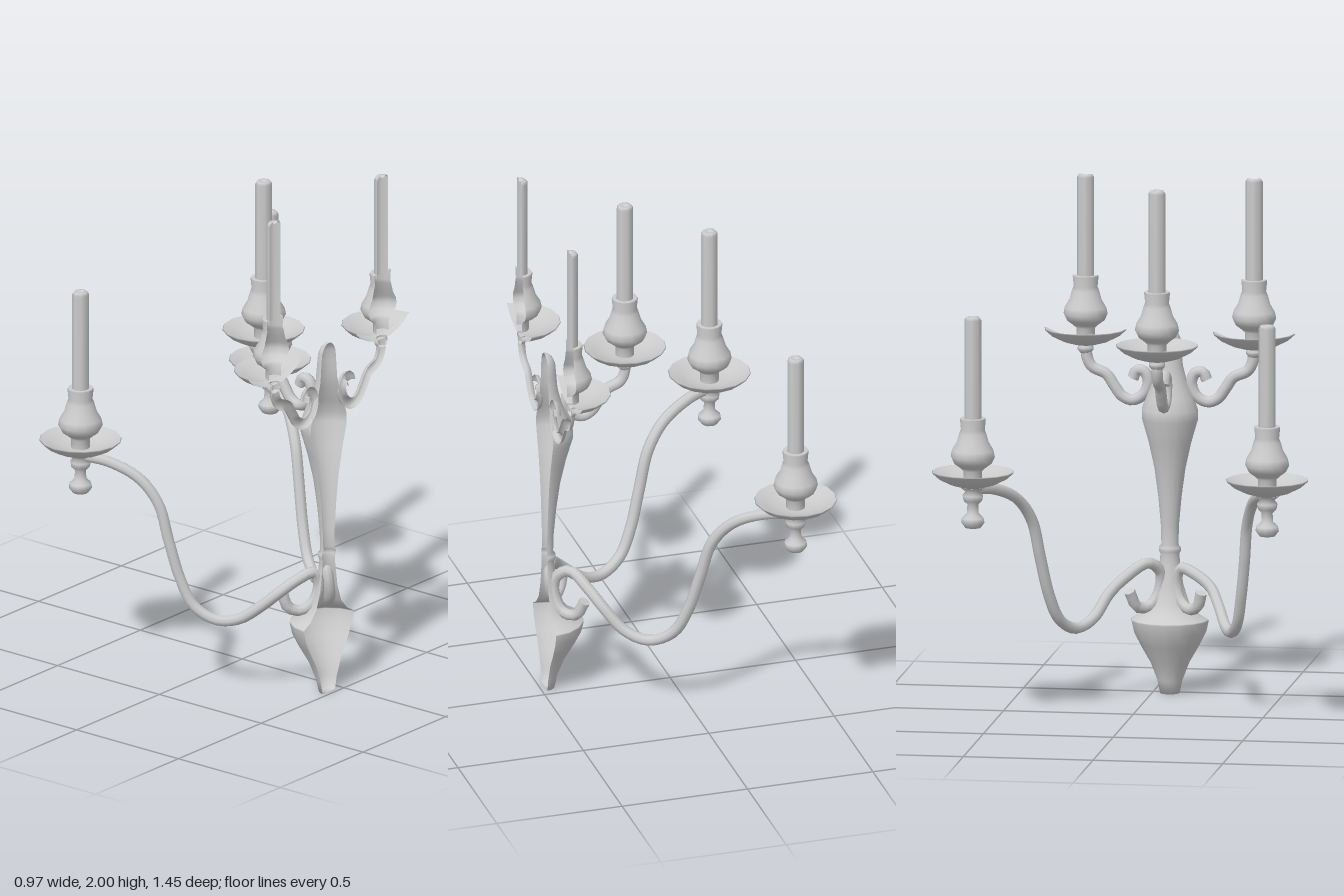
import * as THREE from 'three';

const metal = new THREE.MeshStandardMaterial({ color: 0xcccccc, side: THREE.DoubleSide });
const WALL = 0.48; // wall plane, also the axis of the back plate
const AXIS_Z = 0.067;

function part(name, geometry) {
  const mesh = new THREE.Mesh(geometry, metal);
  mesh.name = name;
  return mesh;
}

// Turned part; half keeps only the side that stands out from the wall (-x)
function turned(name, profile, sides, half = false) {
  const pts = profile.map(([r, y]) => new THREE.Vector2(r, y));
  const geo = half
    ? new THREE.LatheGeometry(pts, sides / 2, Math.PI, Math.PI)
    : new THREE.LatheGeometry(pts, sides);
  return part(name, geo);
}

// Cut a geometry at the wall: flatten what lies behind, then drop the flat faces
function cutAtWall(geo) {
  const p = geo.attributes.position;
  for (let i = 0; i < p.count; i++) p.setX(i, Math.min(p.getX(i), WALL));
  const idx = geo.index.array, kept = [];
  for (let i = 0; i < idx.length; i += 3) {
    const tri = [idx[i], idx[i + 1], idx[i + 2]];
    if (tri.some((v) => p.getX(v) < WALL - 1e-4)) kept.push(...tri);
  }
  geo.setIndex(kept);
  return geo;
}

function arm(name, points, segments, half = false) {
  const curve = new THREE.CatmullRomCurve3(points.map((q) => new THREE.Vector3(...q)));
  const geo = new THREE.TubeGeometry(curve, segments, 0.022, 8);
  const group = new THREE.Group();
  group.name = name;
  group.add(part('armTube', half ? cutAtWall(geo) : geo));
  // Flat caps on the tube ends
  if (!half) {
    for (const t of [0, 1]) {
      const cap = part('armEnd', new THREE.CircleGeometry(0.022, 8));
      cap.position.copy(curve.getPointAt(t));
      cap.lookAt(cap.position.clone().add(curve.getTangentAt(t).multiplyScalar(t ? 1 : -1)));
      group.add(cap);
    }
  }
  return group;
}

// Heights are measured from the drip tray rim
const TRAY = [[0, -0.06], [0.045, -0.058], [0.09, -0.045], [0.13, -0.025], [0.158, 0],
  [0.155, 0.004], [0.12, -0.012], [0.08, -0.026], [0.04, -0.032], [0, -0.032]];
const CUP = [[0.036, -0.035], [0.036, 0.005], [0.05, 0.018], [0.073, 0.035], [0.085, 0.06],
  [0.08, 0.085], [0.062, 0.115], [0.052, 0.15], [0.046, 0.165], [0.05, 0.205], [0.047, 0.21], [0.033, 0.208]];
const CANDLE = [[0.033, 0.19], [0.033, 0.588], [0.026, 0.6], [0.014, 0.6], [0.01, 0.594], [0, 0.594]];
const COLLAR = [[0, -0.095], [0.02, -0.092], [0.031, -0.08], [0.031, -0.07], [0.024, -0.055]];
const FINIAL = [[0, -0.218], [0.03, -0.215], [0.045, -0.195], [0.042, -0.178], [0.023, -0.16],
  [0.021, -0.125], [0.036, -0.11], [0.04, -0.09], [0.028, -0.075], [0.05, -0.058]];

function candleHolder(name, x, y, z, lower, half) {
  const group = new THREE.Group();
  group.name = name;
  group.add(
    turned('dripTray', TRAY, 16, half),
    turned('candleCup', CUP, 14, half),
    turned('candle', CANDLE, 8, half),
    turned(lower ? 'finial' : 'collar', lower ? FINIAL : COLLAR, 12, half),
  );
  group.position.set(x, y, z);
  return group;
}

export function createModel() {
  const model = new THREE.Group();
  model.name = 'wallCandelabra';

  // Half-round back plate against the wall
  const plate = turned('backPlate', [
    [0, 0], [0.038, 0], [0.048, 0.05], [0.075, 0.12], [0.115, 0.19], [0.14, 0.24], [0.15, 0.283],
    [0.148, 0.288], [0.11, 0.31], [0.075, 0.35], [0.052, 0.42], [0.04, 0.5], [0.036, 0.54], [0.042, 0.55],
    [0.042, 0.565], [0.033, 0.575], [0.035, 0.65], [0.045, 0.76], [0.06, 0.87], [0.082, 0.97],
    [0.108, 1.06], [0.108, 1.1], [0.09, 1.15], [0.065, 1.21], [0.05, 1.27], [0.045, 1.33],
    [0.041, 1.375], [0.03, 1.4], [0.015, 1.413], [0, 1.416],
  ], 16, true);
  plate.position.set(WALL, 0, AXIS_Z);
  model.add(plate);

  // Three upper arms with scrolls: one forward, two along the wall
  const scroll = [[0.32, 1.345], [0.32, 1.295], [0.3, 1.255], [0.245, 1.228], [0.215, 1.185], [0.185, 1.145],
    [0.145, 1.13], [0.1, 1.155], [0.083, 1.205], [0.1, 1.243], [0.128, 1.245], [0.142, 1.215]];
  const upper = [['upperFrontArm', -1, 0], ['upperLeftArm', 0, 1], ['upperRightArm', 0, -1]];
  for (const [name, dx, dz] of upper) {
    const half = dx === 0;
    model.add(arm(name, scroll.map(([u, y]) => [WALL + dx * u, y, AXIS_Z + dz * u]), 40, half));
    model.add(candleHolder(name + 'Candle', WALL + dx * 0.32, 1.4, AXIS_Z + dz * 0.325, false, half));
  }

  // Two long lower arms sweeping outward, each starting in a scroll at the plate
  model.add(arm('lowerLeftArm', [
    [-0.33, 0.915, 0.57], [-0.23, 0.9, 0.525], [-0.12, 0.845, 0.477], [-0.05, 0.75, 0.446],
    [-0.01, 0.6, 0.43], [0.03, 0.45, 0.41], [0.08, 0.345, 0.388], [0.16, 0.298, 0.352],
    [0.24, 0.31, 0.317], [0.32, 0.37, 0.28], [0.38, 0.43, 0.24], [0.42, 0.475, 0.17],
    [0.445, 0.49, 0.115], [0.453, 0.44, 0.095], [0.44, 0.37, 0.11], [0.41, 0.337, 0.15],
    [0.38, 0.355, 0.19], [0.365, 0.41, 0.205],
  ], 64));
  model.add(arm('lowerRightArm', [
    [-0.325, 0.915, -0.565], [-0.23, 0.9, -0.502], [-0.12, 0.845, -0.43], [-0.05, 0.75, -0.383],
    [-0.01, 0.6, -0.357], [0.03, 0.45, -0.33], [0.08, 0.345, -0.297], [0.16, 0.298, -0.245],
    [0.24, 0.325, -0.19], [0.31, 0.41, -0.14], [0.35, 0.465, -0.085], [0.4, 0.515, -0.005],
    [0.445, 0.475, 0.035], [0.453, 0.4, 0.03], [0.43, 0.345, 0], [0.39, 0.345, -0.045],
    [0.362, 0.41, -0.07],
  ], 64));
  model.add(candleHolder('lowerLeftCandle', -0.332, 0.98, 0.568, true, false));
  model.add(candleHolder('lowerRightCandle', -0.325, 0.98, -0.568, true, false));

  return model;
}
